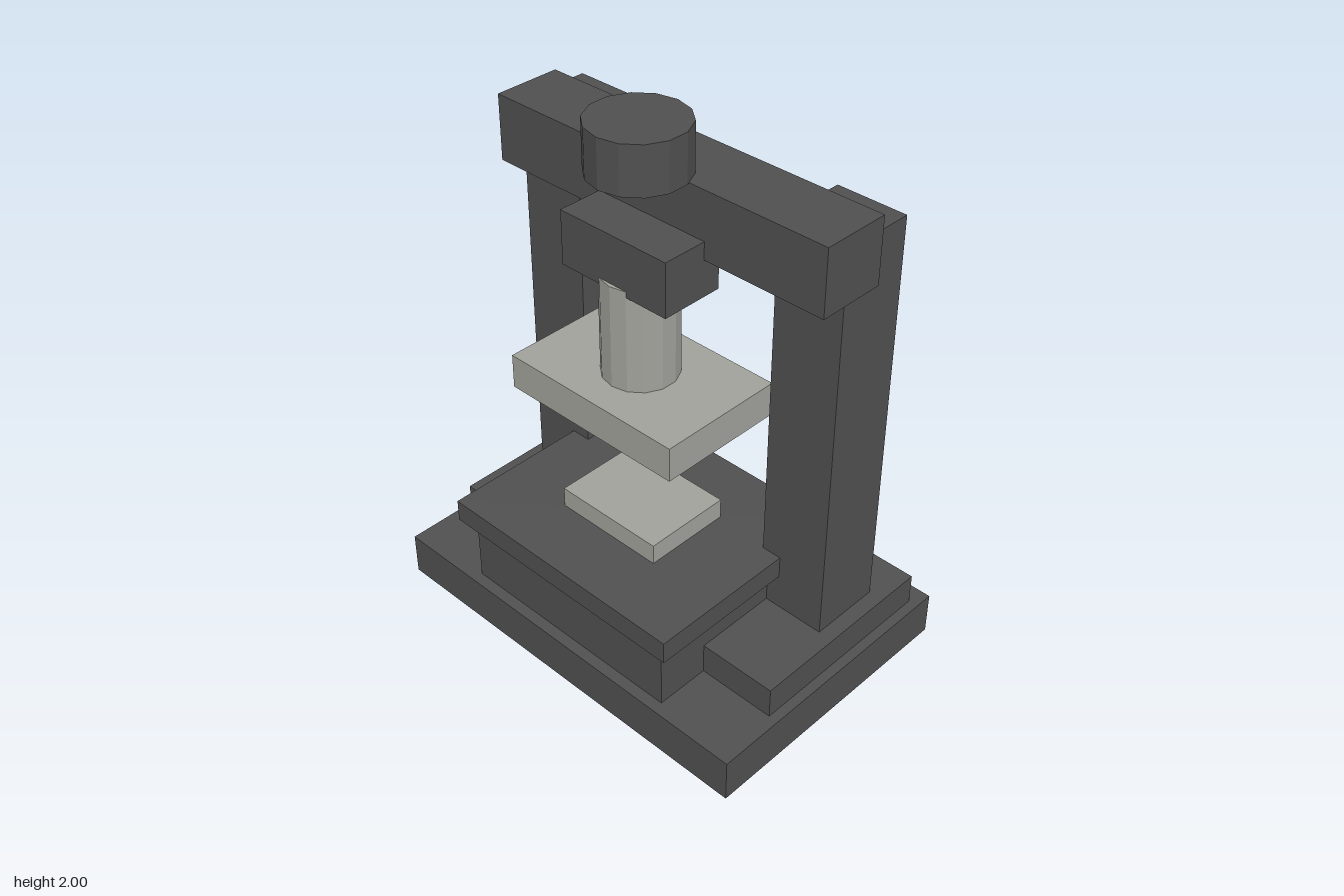
import * as THREE from 'three';

const paint = new THREE.MeshStandardMaterial({ name: 'dark grey paint', color: 0x505050 });
const steel = new THREE.MeshStandardMaterial({ name: 'bare steel', color: 0xa1a19b });
// cylinders are faceted
paint.flatShading = steel.flatShading = true;

const AXIS_Z = 0.12; // the press axis sits forward of the frame

export function createModel() {
  const press = new THREE.Group();
  press.name = 'press';

  const add = (name, geometry, material, x, y, z) => {
    const mesh = new THREE.Mesh(geometry, material);
    mesh.name = name;
    mesh.position.set(x, y, z);
    press.add(mesh);
  };
  // box given by its extents
  const box = (name, material, [x0, x1], [y0, y1], [z0, z1]) =>
    add(name, new THREE.BoxGeometry(x1 - x0, y1 - y0, z1 - z0), material,
      (x0 + x1) / 2, (y0 + y1) / 2, (z0 + z1) / 2);
  // box centred on the press axis
  const block = (name, material, width, y, depth) =>
    box(name, material, [-width / 2, width / 2], y, [AXIS_Z - depth / 2, AXIS_Z + depth / 2]);
  const cylinder = (name, material, radius, [y0, y1]) =>
    add(name, new THREE.CylinderGeometry(radius, radius, y1 - y0, 14), material,
      0, (y0 + y1) / 2, AXIS_Z);

  // base and frame
  box('base', paint, [-0.78, 0.78], [0, 0.163], [-0.533, 0.533]);
  for (const [side, s] of [['left', 1], ['right', -1]]) {
    const span = (a, b) => (s > 0 ? [a, b] : [-b, -a]);
    box(side + 'Foot', paint, span(0.367, 0.743), [0.163, 0.28], [-0.463, 0.287]);
    box(side + 'Column', paint, span(0.425, 0.685), [0.28, 1.775], [-0.3, -0.028]);
  }
  box('crossbeam', paint, [-0.69, 0.69], [1.587, 1.827], [-0.182, 0.07]);

  // work table
  block('pedestal', paint, 0.9, [0.163, 0.413], 0.74);
  block('table', paint, 1.0, [0.413, 0.497], 0.82);
  block('lowerDie', steel, 0.43, [0.497, 0.573], 0.33);

  // ram
  cylinder('topCap', paint, 0.17, [1.827, 2]);
  block('ramGuide', paint, 0.45, [1.455, 1.652], 0.235);
  cylinder('ramRod', steel, 0.132, [1.1, 1.477]);
  block('ramPlate', steel, 0.716, [0.973, 1.1], 0.475);
  block('upperDie', paint, 0.496, [0.92, 0.973], 0.36);

  return press;
}
